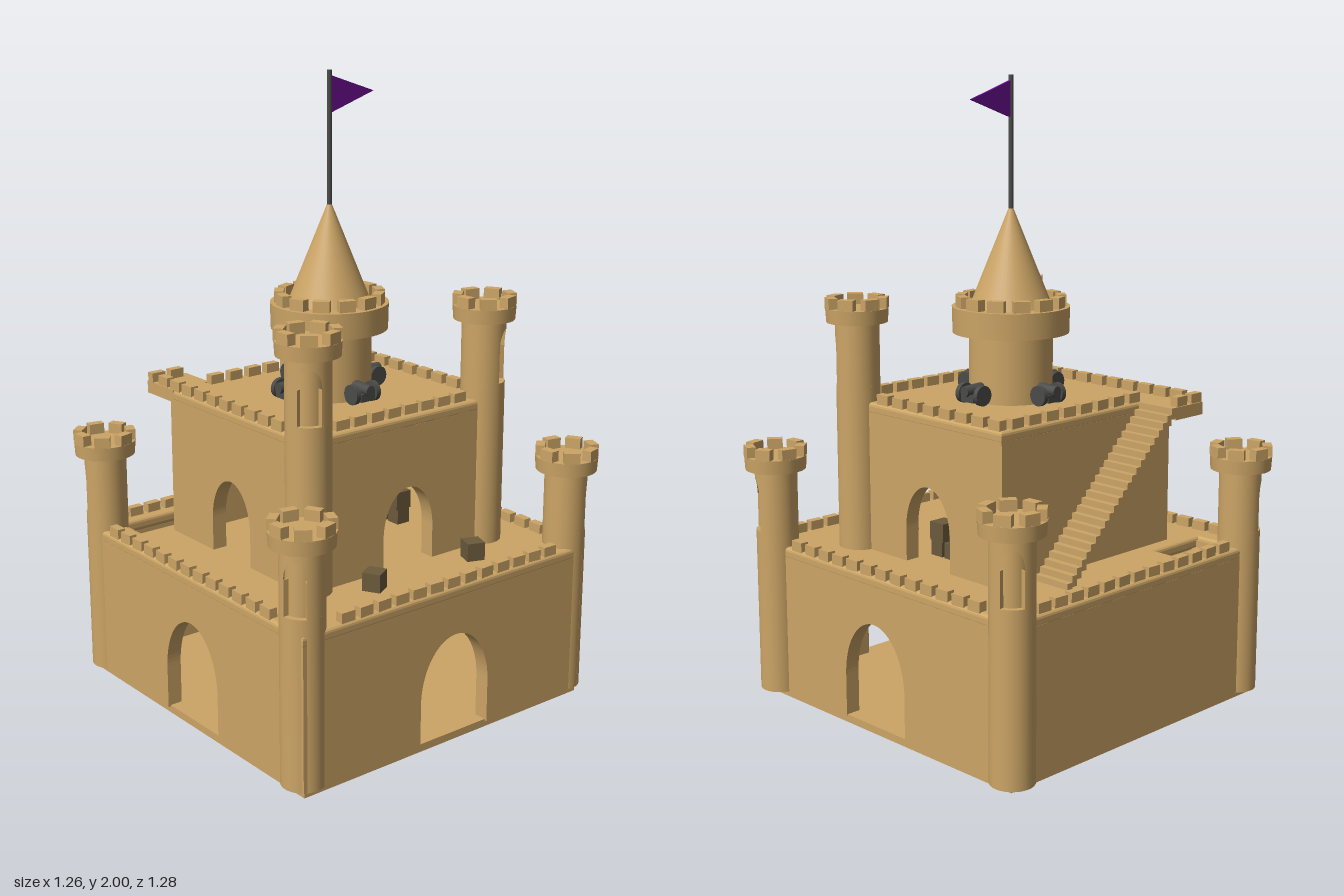
import * as THREE from 'three';

const mat = (name, color, side = THREE.FrontSide) => {
  const m = new THREE.MeshStandardMaterial({ color, side });
  m.name = name;
  return m;
};

export function createModel() {
  const sand = mat('sand', 0xcca566);
  const sandShell = sand; // one colour for all masonry
  sandShell.side = THREE.DoubleSide;
  const wood = mat('dark wood', 0x6b5a3c);
  const iron = mat('iron', 0x4b4b49);
  const purple = mat('purple', 0x6a0d91, THREE.DoubleSide);

  const root = new THREE.Group();
  root.name = 'sandCastle';

  const add = (parent, name, geo, m, x = 0, y = 0, z = 0, ry = 0) => {
    const mesh = new THREE.Mesh(geo, m);
    mesh.name = name;
    mesh.position.set(x, y, z);
    mesh.rotation.y = ry;
    parent.add(mesh);
    return mesh;
  };
  const group = (name, parent = root) => {
    const g = new THREE.Group();
    g.name = name;
    parent.add(g);
    return g;
  };
  const box = (w, h, d) => new THREE.BoxGeometry(w, h, d);
  const cyl = (rt, rb, h, n = 32) => new THREE.CylinderGeometry(rt, rb, h, n);

  // Upright wall with an optional arched doorway; u runs along the wall
  function wall(u0, u1, y0, y1, t, door) {
    const s = new THREE.Shape();
    s.moveTo(u0, y0);
    if (door) {
      const { c, w, top } = door;
      const spring = y0 + (top - y0) * 0.42;
      s.lineTo(c - w, y0);
      s.lineTo(c - w, spring);
      s.absellipse(c, spring, w, top - spring, Math.PI, 0, true, 0);
      s.lineTo(c + w, y0);
    }
    s.lineTo(u1, y0);
    s.lineTo(u1, y1);
    s.lineTo(u0, y1);
    return new THREE.ExtrudeGeometry(s, { depth: t, bevelEnabled: false, curveSegments: 24 });
  }

  // Roof with softened edges and an optional stair opening [x0, x1, z0, z1]
  function roof(x0, x1, z0, z1, t, hole) {
    const b = 0.012;
    const rect = (p, a, c, d, e) => p.moveTo(a, d).lineTo(c, d).lineTo(c, e).lineTo(a, e).closePath();
    const s = new THREE.Shape();
    rect(s, x0 + b, x1 - b, z0 + b, z1 - b);
    if (hole) {
      const h = new THREE.Path();
      rect(h, hole[0], hole[1], hole[2], hole[3]);
      s.holes.push(h);
    }
    const g = new THREE.ExtrudeGeometry(s, { depth: t - 2 * b, bevelSize: b, bevelThickness: b, bevelSegments: 3 });
    return g.rotateX(Math.PI / 2).translate(0, -b, 0);
  }

  // Hollow storey: four walls plus roof
  function storey(name, [x0, x1, z0, z1], y0, y1, frontDoor, sideDoor, hole) {
    const g = group(name), t = 0.05, top = y1 - 0.03;
    add(g, 'frontWall', wall(x0, x1, y0, top, t, frontDoor), sand, 0, 0, z1 - t);
    add(g, 'backWall', wall(x0, x1, y0, top, t), sand, 0, 0, z0);
    for (const x of [x0, x1 - t]) {
      const geo = wall(-z1 + t, -z0 - t, y0, top, t, { ...sideDoor, c: -sideDoor.c });
      add(g, 'sideWall', geo.rotateY(Math.PI / 2), sand, x);
    }
    add(g, 'roof', roof(x0, x1, z0, z1, 0.04, hole), sand, 0, y1, 0);
  }

  const LOW = [-0.58, 0.55, -0.57, 0.595], UP = [-0.39, 0.365, -0.34, 0.365];
  const Y1 = 0.508, Y2 = 0.988;
  add(root, 'floorSlab', box(1.12, 0.025, 1.15), sand, -0.012, 0.0125, 0.012);
  storey('lowerStorey', LOW, 0.02, Y1, { c: 0.005, w: 0.138, top: 0.355 }, { c: 0.03, w: 0.138, top: 0.355 },
    [-0.5, -0.26, -0.51, -0.38]);
  storey('upperStorey', UP, Y1, Y2, { c: 0.01, w: 0.1, top: 0.762 }, { c: -0.015, w: 0.1, top: 0.762 });

  // Battlements in straight rows
  const merlon = box(0.05, 0.034, 0.027);
  function merlonRow(ax, az, bx, bz, y) {
    const len = Math.hypot(bx - ax, bz - az), n = Math.max(1, Math.round(len / 0.071));
    const g = group('battlement');
    for (let i = 0; i <= n; i++) {
      const k = i / n;
      add(g, 'merlon', merlon, sand, ax + (bx - ax) * k, y + 0.013, az + (bz - az) * k,
        Math.atan2(az - bz, bx - ax) + Math.sin(i * 7.3) * 0.05);
    }
  }
  merlonRow(-0.41, 0.575, 0.41, 0.575, Y1);
  merlonRow(-0.41, -0.548, 0.41, -0.548, Y1);
  merlonRow(-0.563, -0.41, -0.563, 0.41, Y1);
  merlonRow(0.533, -0.41, 0.533, 0.41, Y1);
  merlonRow(-0.235, 0.333, 0.235, 0.333, Y2);
  merlonRow(-0.23, -0.318, 0.29, -0.318, Y2);
  merlonRow(-0.373, -0.39, -0.373, 0.22, Y2);
  merlonRow(0.345, -0.3, 0.345, 0.2, Y2);
  merlonRow(-0.365, -0.457, -0.295, -0.457, Y2);

  // Ring of merlons on a round top
  function merlonRing(g, r, y, n, w, h) {
    for (let i = 0; i < n; i++) {
      const a = ((i + 0.3) / n) * Math.PI * 2;
      add(g, 'merlon', box(w, h, 0.03), sand, Math.sin(a) * r, y + h / 2, Math.cos(a) * r, a);
    }
  }

  // Round tower with an arched window niche facing angle az
  function tower(name, x, z, y0, yCap, r, az) {
    const g = group(name), half = 0.56;
    const sill = yCap - 0.2, spring = sill + 0.11, top = sill + 0.17;
    g.position.set(x, 0, z);
    add(g, 'lowerShaft', cyl(r, r, sill - y0), sand, 0, (sill + y0) / 2, 0);
    add(g, 'windowBack', cyl(r * 0.74, r * 0.74, yCap - sill), sand, 0, (yCap + sill) / 2, 0);
    const h = yCap - sill;
    add(g, 'upperShaft', new THREE.CylinderGeometry(r, r, h, 28, 1, true, half, Math.PI * 2 - 2 * half),
      sandShell, 0, sill + h / 2, 0, az);
    // Wall over the window: lower row lifted to the arch line
    const over = new THREE.CylinderGeometry(r, r, h, 16, 1, true, -half, 2 * half);
    const p = over.attributes.position;
    for (let i = 0; i < p.count; i++) {
      if (p.getY(i) > 0) continue;
      const k = Math.atan2(p.getX(i), p.getZ(i)) / half;
      p.setY(i, spring + (top - spring) * Math.sqrt(Math.max(0, 1 - k * k)) - sill - h / 2);
    }
    add(g, 'windowArch', over, sandShell, 0, sill + h / 2, 0, az);
    for (const s of [-1, 1]) {
      const a = az + s * half;
      add(g, 'windowJamb', box(0.003, spring - sill, r * 0.26), sand,
        Math.sin(a) * r * 0.86, (spring + sill) / 2, Math.cos(a) * r * 0.86, a);
    }
    add(g, 'towerCap', cyl(0.1, 0.097, 0.045), sand, 0, yCap + 0.0225, 0);
    merlonRing(g, 0.083, yCap + 0.043, 7, 0.05, 0.036);
  }
  tower('frontLeftTower', 0.53, 0.53, 0.018, 0.757, 0.068, 1.02);
  tower('frontRightTower', -0.535, 0.535, 0.018, 0.757, 0.068, -1.02);
  tower('backLeftTower', 0.52, -0.54, 0.018, 0.757, 0.068, Math.PI * 0.75);
  tower('backRightTower', -0.53, -0.525, 0.018, 0.757, 0.068, -Math.PI * 0.75);
  tower('upperLeftTower', 0.35, 0.325, Y1 - 0.01, 1.237, 0.07, 0.6);
  tower('upperRightTower', -0.36, 0.34, Y1 - 0.01, 1.237, 0.07, -0.6);

  // Central keep with conical roof and flag
  const keep = group('keep');
  keep.position.x = -0.01;
  add(keep, 'keepBody', cyl(0.133, 0.133, 0.23, 48), sand, 0, 1.095, 0);
  add(keep, 'keepCap', cyl(0.187, 0.185, 0.083, 48), sand, 0, 1.243, 0);
  merlonRing(keep, 0.158, 1.283, 13, 0.052, 0.037);
  add(keep, 'coneRoof', new THREE.ConeGeometry(0.132, 0.328, 48), sand, 0, 1.446, 0);
  add(keep, 'flagPole', cyl(0.008, 0.008, 0.42, 12), iron, 0, 1.79, 0);
  const pennant = new THREE.Shape([[0, 1.985], [0, 1.87], [0.172, 1.928]].map(q => new THREE.Vector2(...q)));
  add(keep, 'flag', new THREE.ExtrudeGeometry(pennant, { depth: 0.008, bevelEnabled: false }), purple, 0, 0, -0.004);

  // Four cannons around the keep
  for (let i = 0; i < 4; i++) {
    const c = group('cannon', keep);
    c.rotation.y = (i * Math.PI) / 2;
    add(c, 'carriage', box(0.055, 0.025, 0.075), iron, 0, 1.012, 0.155);
    const barrel = add(c, 'barrel', cyl(0.017, 0.021, 0.085, 16), iron, 0, 1.035, 0.162);
    barrel.rotation.x = Math.PI / 2;
    for (const s of [-1, 1]) {
      const wheel = add(c, 'wheel', cyl(0.032, 0.032, 0.016, 20), iron, s * 0.04, 1.022, 0.165);
      wheel.rotation.z = Math.PI / 2;
    }
  }

  // Outer stair up to the landing, inner stair up to the roof opening
  function stair(name, xLow, xHigh, yLow, yHigh, z0, z1, n) {
    const g = group(name), run = Math.abs(xHigh - xLow) / n, rise = (yHigh - yLow) / n;
    for (let i = 0; i < n; i++) {
      add(g, 'step', box(run, rise * 1.7, z1 - z0), sand,
        xLow + (xHigh - xLow) * ((i + 0.5) / n), yLow + rise * (i + 1 - 0.85), (z0 + z1) / 2);
    }
  }
  stair('outerStair', 0.225, -0.26, Y1, Y2, -0.475, -0.338, 24);
  stair('innerStair', -0.07, -0.5, 0.025, Y1 - 0.01, -0.51, -0.38, 20);
  add(root, 'landing', box(0.13, 0.04, 0.15), sand, -0.325, Y2 - 0.02, -0.4);

  // Round table in the hall
  const table = [[0, 0.02], [0.14, 0.02], [0.14, 0.047], [0.05, 0.047], [0.05, 0.095],
    [0.112, 0.132], [0.112, 0.155], [0, 0.155]];
  const tableParts = group('table');
  tableParts.position.set(0.005, 0, 0.03);
  for (let i = 0; i < table.length - 1; i++) {
    const seg = [table[i], table[i + 1]].map(q => new THREE.Vector2(...q));
    add(tableParts, 'tableRing', new THREE.LatheGeometry(seg, 40), sand);
  }

  // Wooden crates: x, base y, z, size, turn
  const crates = [
    [-0.197, Y1, 0.45, 0.058, 0.5], [0.205, Y1, 0.45, 0.058, -0.35],
    [0.24, Y1, 0.055, 0.05, 0], [0.24, Y1, -0.005, 0.05, 0], [0.24, Y1, -0.07, 0.05, 0],
    [0.24, Y1 + 0.05, 0.05, 0.06, 0], [0.24, Y1 + 0.05, -0.037, 0.06, 0],
    [0.4, 0.025, -0.2, 0.075, 0.2], [0.4, 0.1, -0.2, 0.065, -0.3], [0.33, 0.025, -0.26, 0.075, 0.5],
    [-0.4, 0.025, 0.24, 0.075, 0.2], [-0.4, 0.1, 0.24, 0.065, -0.3], [-0.33, 0.025, 0.3, 0.075, 0.5],
  ];
  for (const [x, y, z, s, a] of crates) add(root, 'crate', box(s, s, s), wood, x, y + s / 2, z, a);

  return root;
}
